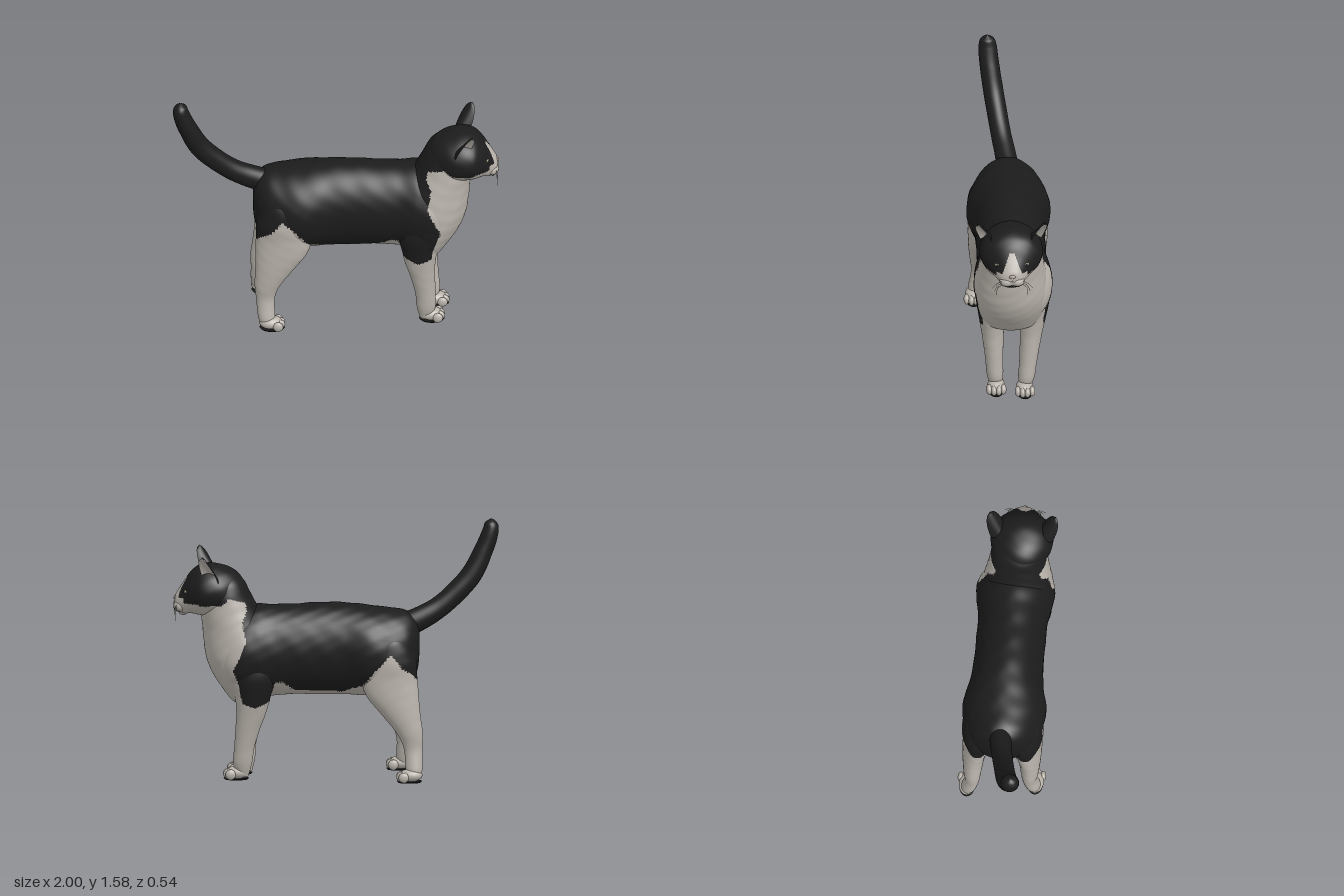
import * as THREE from 'three';

const mat = (name, color, side = THREE.FrontSide) =>
  Object.assign(new THREE.MeshStandardMaterial({ color, side }), { name });
const white = mat('white fur', 0xb9b3ab);
const black = mat('black fur', 0x1c1c1c);
const eyeMat = mat('eye', 0x8f9078);
const noseMat = mat('nose', 0xa3948c);

// Outline of the dark coat in side view: belly edge, chest, cheek, then over the back
const coat = [[-1.1, .62], [-.49, .63], [-.46, .67], [-.4, .71], [-.33, .8], [-.25, .72], [-.2, .66], [-.16, .6],
  [-.05, .56], [0, .53], [.1, .515], [.24, .55], [.33, .62], [.38, .62], [.41, .5], [.5, .465], [.58, .49], [.6, .6],
  [.64, .7], [.6, .78], [.56, .88], [.58, 1], [.55, 1.06], [.56, 1.11], [.665, 1.14], [.71, 1.095], [.84, 1.09],
  [1.1, 1.1], [1.1, 1.7], [-1.1, 1.7]];

function isDark(x, y, z) {
  if (x > .84 && y > 1) { // white blaze and muzzle
    const dz = Math.abs(z - .02);
    if (y > 1.245) return true;
    return y > 1.1 && dz > (y < 1.13 ? .095 : .015 + (1.245 - y) * .4);
  }
  if (y < .62 && Math.abs(z) < .11) return false; // belly and inner legs
  let inside = false;
  coat.forEach(([ax, ay], i) => {
    const [bx, by] = coat[(i + 1) % coat.length];
    if ((ay > y) !== (by > y) && x < ax + (y - ay) / (by - ay) * (bx - ax)) inside = !inside;
  });
  return inside;
}

// Smooth loft through sections [x, y, z, r1, rz]; axis is 'x', 'y' or 'path'.
// The faces are sorted into white and dark fur.
function loft(name, axis, sections, rows, cols = 64) {
  const curve = pts => new THREE.CatmullRomCurve3(pts, false, 'catmullrom', .5);
  const centre = curve(sections.map(s => new THREE.Vector3(s[0], s[1], s[2])));
  const radius = curve(sections.map(s => new THREE.Vector3(s[3], s[4], 0)));
  const Z = new THREE.Vector3(0, 0, 1), pos = [];
  for (let i = 0; i <= rows; i++) {
    const c = centre.getPoint(i / rows), r = radius.getPoint(i / rows);
    const ra = Math.max(r.x, .001), rb = Math.max(r.y, .001);
    let u = new THREE.Vector3(0, ra, 0), v = new THREE.Vector3(0, 0, rb);
    if (axis === 'y') { u = new THREE.Vector3(0, 0, rb); v = new THREE.Vector3(ra, 0, 0); }
    if (axis === 'path') {
      const t = centre.getTangent(i / rows);
      u = Z.clone().cross(t).normalize().multiplyScalar(ra);
      v = t.clone().cross(u).normalize().multiplyScalar(rb);
    }
    for (let j = 0; j < cols; j++) {
      const a = j / cols * Math.PI * 2;
      const d = u.clone().multiplyScalar(Math.cos(a)).addScaledVector(v, Math.sin(a));
      const q = d.clone().add(c); // faint fur ripple
      d.multiplyScalar(1 + .006 * Math.sin(40 * q.x + 22 * q.y) * Math.sin(34 * q.z + 50 * q.y));
      pos.push(c.x + d.x, c.y + d.y, c.z + d.z);
    }
  }
  const pale = [], dark = [];
  const tri = (...f) => {
    const m = k => (pos[f[0] * 3 + k] + pos[f[1] * 3 + k] + pos[f[2] * 3 + k]) / 3;
    (isDark(m(0), m(1), m(2)) ? dark : pale).push(...f);
  };
  for (let i = 0; i < rows; i++) for (let j = 0; j < cols; j++) {
    const k = (j + 1) % cols, a = i * cols + j, b = i * cols + k;
    tri(a, b, a + cols);
    tri(b, b + cols, a + cols);
  }
  const g = new THREE.BufferGeometry();
  g.setAttribute('position', new THREE.Float32BufferAttribute(pos, 3));
  g.setIndex([...pale, ...dark]);
  g.addGroup(0, pale.length, 0);
  g.addGroup(pale.length, dark.length, 1);
  g.computeVertexNormals();
  const mesh = new THREE.Mesh(g, [white, black]);
  mesh.name = name;
  return mesh;
}

function ball(name, material, p, s) {
  const m = new THREE.Mesh(new THREE.SphereGeometry(1, 20, 14), material);
  m.position.set(...p);
  m.scale.set(...s);
  m.name = name;
  return m;
}

function tube(name, material, pts, r) {
  const c = new THREE.CatmullRomCurve3(pts.map(p => new THREE.Vector3(...p)));
  const m = new THREE.Mesh(new THREE.TubeGeometry(c, 12, r, 5), material);
  m.name = name;
  return m;
}

// Paw with four toes and a dark sole, centred on (x, z)
function paw(name, x, z) {
  const g = new THREE.Group();
  g.name = name;
  g.add(ball('foot', white, [x, .044, z], [.072, .04, .052]));
  for (let i = 0; i < 4; i++) {
    const k = i - 1.5;
    g.add(ball('toe', white, [x + .062 - Math.abs(k) * .012, .036, z + k * .029], [.032, .032, .019]));
  }
  const sole = new THREE.Mesh(new THREE.CylinderGeometry(1, .9, .009, 24), black);
  sole.scale.set(.078, 1, .05);
  sole.position.set(x + .008, .0045, z);
  sole.name = 'sole';
  g.add(sole);
  return g;
}

// Cupped ear surface; lift raises the lining slightly off the back
function earSurface(name, material, flip, lift) {
  const n = 14, pos = [], idx = [];
  for (let i = 0; i <= n; i++) for (let j = 0; j <= n; j++) {
    const t = i / n, s = j / n * 2 - 1, w = .058 * Math.sqrt(1 - t) * (1 + .6 * t) * (lift ? .93 : 1);
    pos.push(w * s, .19 * t * (lift ? .97 : 1), -.05 * (1 - s * s) * (1 - t * .8) + lift);
  }
  for (let i = 0; i < n; i++) for (let j = 0; j < n; j++) {
    const a = i * (n + 1) + j, b = a + 1, c = a + n + 1, d = c + 1;
    idx.push(...(flip ? [a, c, b, b, c, d] : [a, b, c, b, d, c]));
  }
  const g = new THREE.BufferGeometry();
  g.setAttribute('position', new THREE.Float32BufferAttribute(pos, 3));
  g.setIndex(idx);
  g.computeVertexNormals();
  const m = new THREE.Mesh(g, material);
  m.name = name;
  return m;
}

function ear() {
  const g = new THREE.Group();
  g.name = 'ear';
  const up = new THREE.Vector3(.065, .17, .06).normalize();
  const across = up.clone().cross(new THREE.Vector3(.7, 0, .7)).normalize();
  const out = across.clone().cross(up);
  g.applyMatrix4(new THREE.Matrix4().makeBasis(across, up, out).setPosition(.768, 1.235, .145));
  g.add(earSurface('earBack', black, true, 0), earSurface('earLining', white, false, .005));
  return g;
}

export function createModel() {
  const cat = new THREE.Group();
  cat.name = 'cat';

  // Trunk from rump to breast: x, top, bottom, half width
  const trunk = [[-.51, .88, .8, .01], [-.505, .95, .7, .075], [-.48, 1, .62, .14], [-.42, 1.035, .56, .2],
    [-.32, 1.05, .525, .24], [-.2, 1.065, .51, .257], [-.05, 1.083, .515, .225], [.1, 1.085, .515, .213],
    [.25, 1.077, .52, .213], [.38, 1.075, .51, .215], [.5, 1.075, .5, .237], [.6, 1.04, .51, .237],
    [.68, .95, .56, .19], [.74, .84, .68, .08]];
  cat.add(loft('trunk', 'x', trunk.map(([x, t, b, w]) => [x, (t + b) / 2, 0, (t - b) / 2, w]), 150, 80));

  // Chest and neck: y, back x, front x, half width
  const neck = [[.46, .52, .6, .06], [.49, .46, .645, .15], [.55, .4, .69, .19], [.65, .36, .755, .215],
    [.75, .34, .795, .225], [.85, .36, .81, .218], [.95, .4, .818, .202], [1.05, .47, .83, .184],
    [1.15, .525, .83, .17], [1.22, .56, .8, .145], [1.27, .61, .76, .09], [1.285, .66, .7, .02]];
  cat.add(loft('chestAndNeck', 'y', neck.map(([y, b, f, w]) => [(b + f) / 2, y, .01, (f - b) / 2, w]), 120, 80));

  // Head
  cat.add(loft('head', 'x', [[.555, 1.17, .02, .01, .01], [.575, 1.17, .02, .07, .08], [.62, 1.17, .02, .118, .135],
    [.69, 1.167, .02, .152, .18], [.77, 1.17, .02, .162, .193], [.84, 1.165, .02, .151, .18],
    [.89, 1.15, .02, .126, .142], [.93, 1.12, .02, .1, .102], [.965, 1.1, .02, .067, .07],
    [.983, 1.093, .02, .042, .045], [.99, 1.09, .02, .003, .003]], 110, 80));
  const face = new THREE.Group();
  face.name = 'face';
  face.position.z = .02;
  for (const s of [1, -1]) {
    const half = new THREE.Group();
    half.name = s > 0 ? 'leftFace' : 'rightFace';
    half.scale.z = s;
    half.add(ear());
    half.add(ball('eye', eyeMat, [.917, 1.17, .085], [.018, .012, .021]));
    half.add(ball('pupil', black, [.931, 1.17, .089], [.006, .008, .006]));
    half.add(ball('whiskerPad', white, [.953, 1.073, .032], [.042, .036, .046]));
    half.add(tube('mouth', black, [[.993, 1.06, 0], [.985, 1.047, .03], [.955, 1.043, .068]], .003));
    for (let i = 0; i < 3; i++)
      half.add(tube('whisker', white, [[.97, 1.085 - i * .012, .05], [.985, 1.075 - i * .018, .09],
        [.988, 1.04 - i * .025, .125 - i * .015]], .0016));
    face.add(half);
  }
  face.add(ball('nose', noseMat, [.979, 1.118, 0], [.016, .014, .022]));
  face.add(ball('chin', white, [.935, 1.032, 0], [.03, .022, .04]));
  cat.add(face);

  // Legs from the ground up; the right pair stands slightly offset from the left
  const foreleg = [[.545, .02, .105, .035, .035], [.55, .1, .11, .058, .05], [.545, .2, .115, .062, .054],
    [.53, .32, .12, .075, .062], [.515, .42, .125, .091, .071], [.51, .52, .13, .108, .08],
    [.51, .65, .13, .13, .095], [.51, .78, .12, .1, .08], [.51, .82, .12, .01, .01]];
  const hindleg = [[-.42, .02, .205, .035, .035], [-.427, .08, .195, .052, .045], [-.433, .2, .175, .057, .045],
    [-.42, .3, .175, .08, .055], [-.375, .42, .172, .12, .068], [-.335, .53, .162, .16, .082],
    [-.32, .64, .145, .172, .1], [-.32, .76, .13, .165, .12], [-.32, .88, .12, .11, .1], [-.32, .94, .12, .01, .01]];
  for (const s of [1, -1]) {
    const side = s > 0 ? 'left' : 'right';
    const place = (sections, dx, dz) => sections.map(([x, y, z, a, b]) => {
      const k = s > 0 ? 0 : Math.max(0, 1 - y / .6);
      return [x + dx * k, y, s * z + dz * k, a, b];
    });
    cat.add(loft(side + 'Foreleg', 'y', place(foreleg, .03, .035), 90, 48));
    cat.add(loft(side + 'HindLeg', 'y', place(hindleg, -.05, 0), 100, 56));
    cat.add(paw(side + 'Forepaw', s > 0 ? .577 : .605, s > 0 ? .105 : -.07));
    cat.add(paw(side + 'HindPaw', s > 0 ? -.4 : -.45, s * .207));
  }

  // Tail
  cat.add(loft('tail', 'path', [[-.36, .93, 0, .08, .07], [-.48, .965, 0, .075, .066], [-.65, 1.06, .03, .066, .062],
    [-.82, 1.225, .065, .065, .062], [-.907, 1.39, .09, .058, .06], [-.948, 1.5, .1, .05, .056],
    [-.953, 1.555, .102, .038, .042], [-.953, 1.582, .102, .003, .003]], 80, 40));
  return cat;
}
